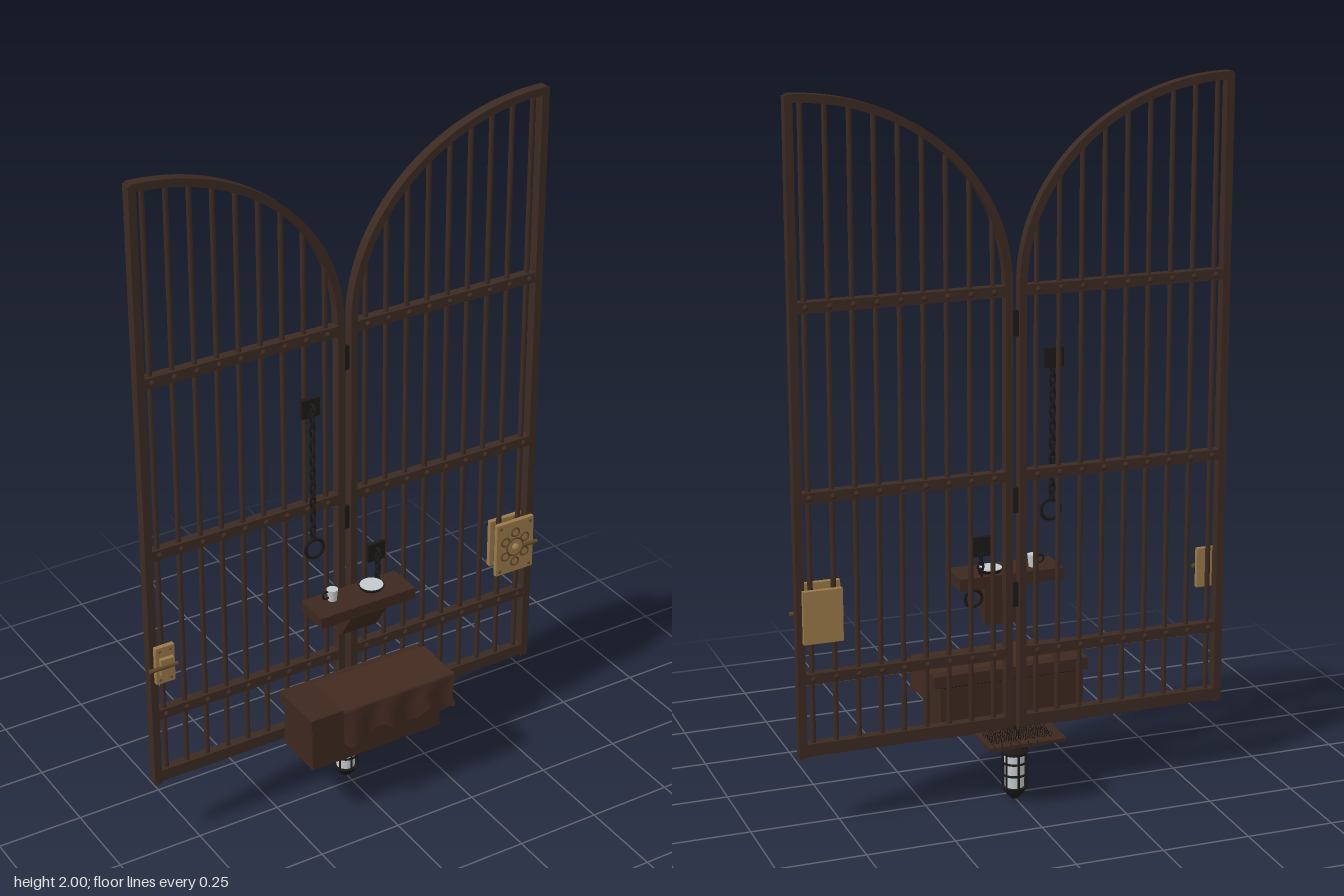
import * as THREE from 'three';

const mat = (name, color) => {
  const m = new THREE.MeshStandardMaterial({ color });
  m.name = name;
  return m;
};

export function createModel() {
  const root = new THREE.Group();
  root.name = 'gate';
  const iron = mat('brown iron', 0x3c2a22);
  const black = mat('black iron', 0x1c1917);
  const wood = mat('dark wood', 0x3d281f);
  const cloth = mat('brown cloth', 0x432b21);
  cloth.side = THREE.DoubleSide;
  const brass = mat('brass', 0x9a7a4a);
  const darkBrass = mat('aged brass', 0x5e4828);
  const glass = mat('pale glass', 0xc4cbcd);
  const Z = -0.035; // plane of the gate

  const add = (parent, name, geo, m, x = 0, y = 0, z = 0) => {
    const mesh = new THREE.Mesh(geo, m);
    mesh.name = name;
    mesh.position.set(x, y, z);
    parent.add(mesh);
    return mesh;
  };
  const group = (name, parent = root) => {
    const g = new THREE.Group();
    g.name = name;
    parent.add(g);
    return g;
  };
  // box given by its limits
  const box = (p, name, m, x0, x1, y0, y1, z0, z1) =>
    add(p, name, new THREE.BoxGeometry(x1 - x0, y1 - y0, z1 - z0), m, (x0 + x1) / 2, (y0 + y1) / 2, (z0 + z1) / 2);
  const cyl = (p, name, m, r0, r1, h, x, y, z, n = 12) =>
    add(p, name, new THREE.CylinderGeometry(r0, r1, h, n), m, x, y, z);

  // Two mirrored gate leaves
  const archHeight = (x, inset) => 1.47 + (0.53 - inset) * Math.sqrt(Math.max(0, 1 - ((0.615 - x) / (0.605 - inset)) ** 2));
  const rivet = new THREE.SphereGeometry(0.008, 8, 6);
  for (const s of [-1, 1]) {
    const leaf = group(s < 0 ? 'rightLeaf' : 'leftLeaf');
    const span = (name, a, b, y0, y1, d) =>
      box(leaf, name, iron, Math.min(s * a, s * b), Math.max(s * a, s * b), y0, y1, Z - d, Z + d);
    span('outerPost', 0.599, 0.621, 0.21, 1.995, 0.015);
    span('innerPost', 0.01, 0.03, 0.21, 1.48, 0.015);
    span('bottomRail', 0.01, 0.615, 0.215, 0.25, 0.014);
    for (const y of [0.435, 0.94, 1.45]) span('crossRail', 0.01, 0.615, y - 0.015, y + 0.015, 0.014);

    // curved top rail
    const shape = new THREE.Shape();
    shape.absellipse(0, 0, 0.605, 0.53, 0, Math.PI / 2, false);
    shape.absellipse(0, 0, 0.583, 0.508, Math.PI / 2, 0, true);
    const geo = new THREE.ExtrudeGeometry(shape, { depth: 0.03, bevelEnabled: false, curveSegments: 32 });
    const arch = add(leaf, 'archRail', geo, iron, s * 0.615, 1.47, Z - 0.015);
    if (s > 0) {
      arch.rotation.y = Math.PI;
      arch.position.z = Z + 0.015;
    }

    // upright bars with rivets on the rails
    for (let i = 0; i < 9; i++) {
      const x = 0.062 + i * 0.0645, top = archHeight(x, 0.012);
      cyl(leaf, 'bar', iron, 0.0075, 0.0075, top - 0.22, s * x, (top + 0.22) / 2, Z, 8);
      for (const y of [0.435, 0.94, 1.45])
        for (const d of [-0.015, 0.015]) add(leaf, 'rivet', rivet, iron, s * x, y, Z + d);
    }
  }
  for (const y of [0.6, 0.87, 1.36]) box(root, 'meetingTab', black, -0.011, 0.011, y - 0.035, y + 0.035, Z - 0.006, Z + 0.006);

  // Hanging chains with wall plates and rings
  const link = new THREE.TorusGeometry(0.0085, 0.0034, 6, 12).scale(1, 1.7, 1);
  const chain = (name, x, top, bottom, ringX, ringY, ringR) => {
    const g = group(name);
    box(g, 'mountPlate', black, x - 0.027, x + 0.027, top - 0.055, top, -0.022, -0.01);
    const hook = add(g, 'mountLoop', new THREE.TorusGeometry(0.014, 0.004, 6, 16), black, x, top - 0.028, -0.004);
    hook.rotation.y = Math.PI / 2;
    const n = Math.round((top - 0.045 - bottom) / 0.022);
    for (let i = 0; i < n; i++) {
      const l = add(g, 'link', link, black, x, top - 0.045 - i * 0.022, -0.006);
      l.rotation.y = i % 2 ? Math.PI / 2 : 0.25;
    }
    add(g, 'pullRing', new THREE.TorusGeometry(ringR, 0.005, 8, 24), black, ringX, ringY, -0.004);
  };
  chain('bellPull', -0.12, 1.28, 0.85, -0.117, 0.822, 0.028);
  chain('shortPull', 0.087, 0.77, 0.62, 0.108, 0.592, 0.024);

  // Shelf with bracket, cup and dish
  const shelf = group('shelf');
  box(shelf, 'shelfBoard', wood, -0.15, 0.152, 0.622, 0.655, -0.02, 0.088);
  const wedge = new THREE.Shape([[-0.02, 0.515], [0, 0.515], [0.055, 0.6], [0.055, 0.622], [-0.02, 0.622]].map(p => new THREE.Vector2(...p)));
  const wedgeGeo = new THREE.ExtrudeGeometry(wedge, { depth: 0.115, bevelEnabled: false }).rotateY(-Math.PI / 2);
  add(shelf, 'shelfBracket', wedgeGeo, wood, 0.08, 0, 0);
  cyl(shelf, 'cup', glass, 0.016, 0.012, 0.035, -0.075, 0.673, 0.02, 16);
  add(shelf, 'cupHandle', new THREE.TorusGeometry(0.011, 0.003, 6, 12), black, -0.095, 0.676, 0.02);
  cyl(shelf, 'dishRim', black, 0.037, 0.03, 0.01, 0.05, 0.66, 0.022, 24);
  cyl(shelf, 'dish', glass, 0.033, 0.033, 0.003, 0.05, 0.6655, 0.022, 24);

  // Chest on the bottom rail, with an overhanging lid
  const chest = group('chest');
  box(chest, 'chestBody', wood, -0.21, 0.21, 0.2, 0.345, -0.02, 0.135);
  box(chest, 'chestLid', wood, -0.225, 0.228, 0.348, 0.382, -0.02, 0.155);
  box(chest, 'lidShadowGap', black, -0.207, 0.207, 0.345, 0.348, -0.018, 0.133);

  // Cloth draped over the lid with a wavy hem
  const drape = new THREE.PlaneGeometry(1, 1, 48, 20);
  const p = drape.attributes.position;
  for (let i = 0; i < p.count; i++) {
    const u = p.getX(i) + 0.5, v = 0.5 - p.getY(i);
    const x = -0.127 + 0.362 * u;
    const fall = Math.max(0, (v - 0.5) * 2);
    const hem = 0.105 + 0.014 * Math.sin(u * 15) + 0.007 * Math.sin(u * 31);
    const z = v < 0.5 ? 0.005 + 0.315 * v : 0.163 + 0.01 * Math.sin(u * 19) * fall + 0.005 * fall;
    p.setXYZ(i, x + 0.005 * Math.sin(v * 14) * u, 0.386 - hem * fall, z);
  }
  drape.computeVertexNormals();
  add(chest, 'drapedCloth', drape, cloth);
  box(chest, 'clothSideFlap', cloth, 0.23, 0.236, 0.295, 0.386, 0.03, 0.163);

  // Brush tray behind the gate
  const tray = group('brushTray');
  box(tray, 'trayPlate', wood, -0.11, 0.115, 0.198, 0.207, -0.15, 0.02);
  let seed = 7;
  const rnd = () => (seed = (seed * 16807) % 2147483647) / 2147483647;
  const bristle = new THREE.CylinderGeometry(0.0008, 0.0015, 0.022, 4);
  for (let r = 0; r < 5; r++)
    for (let c = 0; c < 26; c++) {
      const b = add(tray, 'bristle', bristle, black, -0.075 + c * 0.007, 0.214, -0.125 + r * 0.016);
      b.rotation.set(-0.9 * rnd(), 0, (rnd() - 0.6) * 0.9);
    }
  for (let i = 0; i < 6; i++) {
    const b = add(tray, 'looseBristle', bristle, black, -0.02 + i * 0.025, 0.213, -0.15 - 0.012 * rnd());
    b.scale.y = 1.7;
    b.rotation.set(-1.4, 0, -0.5 * rnd());
  }

  // Brass latch on the right leaf
  const latch = group('latch');
  box(latch, 'latchPlate', brass, -0.61, -0.553, 0.548, 0.662, -0.02, -0.006);
  box(latch, 'latchBody', brass, -0.6, -0.56, 0.58, 0.63, -0.006, 0.006);
  const bolt = cyl(latch, 'latchBolt', darkBrass, 0.006, 0.006, 0.085, -0.592, 0.605, 0.004, 10);
  bolt.rotation.z = Math.PI / 2;
  for (const x of [-0.598, -0.565])
    for (const y of [0.56, 0.65]) add(latch, 'latchScrew', rivet, darkBrass, x, y, -0.008).scale.setScalar(0.6);

  // Brass lock on the left leaf, with scrollwork in front and a plain case behind
  const lock = group('lock');
  box(lock, 'lockPlate', brass, 0.49, 0.615, 0.53, 0.697, -0.02, -0.006);
  box(lock, 'lockCase', brass, 0.496, 0.606, 0.54, 0.688, -0.064, -0.05);
  box(lock, 'lockCore', darkBrass, 0.51, 0.595, 0.55, 0.677, -0.05, -0.02);
  const scroll = (x, y, r) => add(lock, 'scrollwork', new THREE.TorusGeometry(r, 0.003, 6, 20), darkBrass, x, y, -0.005);
  scroll(0.552, 0.613, 0.028);
  for (let i = 0; i < 6; i++) {
    const a = (i * Math.PI) / 3;
    scroll(0.552 + 0.038 * Math.sin(a), 0.613 + 0.048 * Math.cos(a), 0.013);
  }
  for (const x of [0.502, 0.603])
    for (const y of [0.542, 0.685]) add(lock, 'lockScrew', rivet, darkBrass, x, y, -0.007).scale.setScalar(0.7);
  add(lock, 'lockKnob', new THREE.SphereGeometry(0.011, 12, 8), brass, 0.552, 0.613, -0.002);
  const lockBolt = cyl(lock, 'lockBolt', darkBrass, 0.006, 0.006, 0.05, 0.602, 0.61, -0.003, 10);
  lockBolt.rotation.z = Math.PI / 2;

  // Caged lantern hanging below the gate
  const lamp = group('lantern');
  lamp.position.z = Z;
  cyl(lamp, 'lampStem', black, 0.005, 0.005, 0.04, 0, 0.195, 0, 8);
  cyl(lamp, 'lampRoof', black, 0.008, 0.04, 0.035, 0, 0.162, 0, 16);
  cyl(lamp, 'lampCollar', black, 0.035, 0.035, 0.012, 0, 0.14, 0, 16);
  cyl(lamp, 'lampGlass', glass, 0.029, 0.027, 0.105, 0, 0.085, 0, 20);
  for (const y of [0.11, 0.075]) {
    const ring = add(lamp, 'cageRing', new THREE.TorusGeometry(0.034, 0.0032, 6, 24), black, 0, y, 0);
    ring.rotation.x = Math.PI / 2;
  }
  for (let i = 0; i < 6; i++) {
    const a = (i * Math.PI) / 3;
    cyl(lamp, 'cageBar', black, 0.003, 0.003, 0.11, 0.034 * Math.sin(a), 0.085, 0.034 * Math.cos(a), 6);
  }
  cyl(lamp, 'lampBase', black, 0.037, 0.03, 0.014, 0, 0.03, 0, 16);
  cyl(lamp, 'lampFinial', black, 0.03, 0.008, 0.023, 0, 0.0115, 0, 16);

  return root;
}
